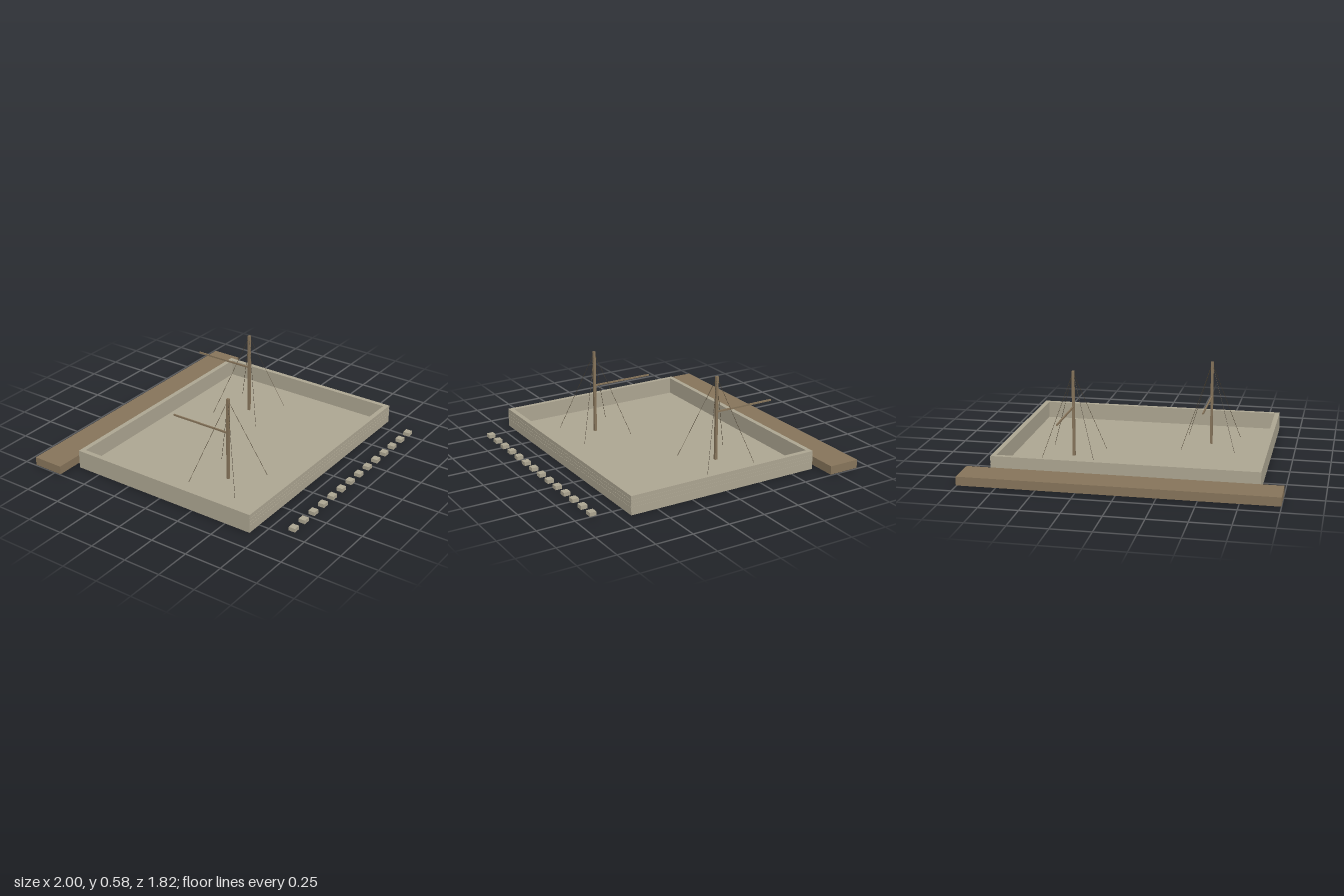
import * as THREE from 'three';

const stone = new THREE.MeshStandardMaterial({ color: 0xaca591 });
stone.name = 'stone';
stone.side = THREE.DoubleSide;
const timber = new THREE.MeshStandardMaterial({ color: 0x86745a });
timber.name = 'timber';
timber.side = THREE.DoubleSide;
const rope = new THREE.MeshStandardMaterial({ color: 0x4a3f2e });
rope.name = 'rope';

// Box given by its minimum and maximum corners; optionally open underneath
function box(name, material, min, max, openBottom = false) {
  const size = max.map((v, i) => v - min[i]);
  const geometry = new THREE.BoxGeometry(...size);
  if (openBottom) {
    const index = Array.from(geometry.index.array);
    index.splice(18, 6);
    geometry.setIndex(index);
    geometry.clearGroups();
  }
  const mesh = new THREE.Mesh(geometry, material);
  mesh.name = name;
  mesh.position.set(...max.map((v, i) => (v + min[i]) / 2));
  return mesh;
}

// Thin rope between two points
function stay(from, to) {
  const dir = to.clone().sub(from);
  const mesh = new THREE.Mesh(new THREE.CylinderGeometry(0.0012, 0.0012, dir.length(), 5), rope);
  mesh.name = 'stay';
  mesh.position.copy(from).add(to).multiplyScalar(0.5);
  mesh.quaternion.setFromUnitVectors(new THREE.Vector3(0, 1, 0), dir.normalize());
  return mesh;
}

// Mast with a rearward boom and four diagonal stays
function mast(x, z) {
  const group = new THREE.Group();
  group.name = 'mast';
  group.position.set(x, 0, z);
  const r = 0.0085;
  group.add(box('mastPost', timber, [-r, 0, -r], [r, 0.585, r]));
  group.add(box('boom', timber, [-0.0045, 0.338, -0.43], [0.0045, 0.349, 0]));
  for (const sx of [-1, 1]) {
    for (const sz of [-1, 1]) {
      group.add(stay(new THREE.Vector3(0, 0.575, 0), new THREE.Vector3(sx * 0.18, 0.012, sz * 0.18)));
    }
  }
  return group;
}

export function createModel() {
  const model = new THREE.Group();
  model.name = 'walledYard';
  const X = 0.855, BACK = -0.663, FRONT = 0.68, TOP = 0.125, T = 0.032;

  // Parapet walls around a sunken floor
  model.add(box('frontWall', stone, [-X, 0, FRONT - T], [X, TOP, FRONT]));
  model.add(box('backWall', stone, [-X, 0, BACK], [X, TOP, BACK + T]));
  for (const s of [-1, 1]) {
    const edges = [s * X, s * (X - T)].sort((a, b) => a - b);
    model.add(box('sideWall', stone, [edges[0], 0, BACK + T], [edges[1], TOP, FRONT - T]));
  }
  model.add(box('floor', stone, [-X + T, 0.004, BACK + T], [X - T, 0.012, FRONT - T]));

  // Fine horizontal courses on the front and one side
  for (const y of [0.051, 0.075, 0.098]) {
    model.add(box('frontCourse', stone, [-X, y - 0.0015, FRONT], [X, y + 0.0015, FRONT + 0.0015]));
    model.add(box('sideCourse', stone, [X, y - 0.0015, BACK], [X + 0.0015, y + 0.0015, FRONT]));
  }

  // Masts
  model.add(mast(-0.43, 0.222), mast(0.425, -0.205));

  // Long hollow platform behind the yard
  model.add(box('rearPlatform', timber, [-1, 0.005, -0.912], [1, 0.062, -0.7], true));

  // Row of small hollow blocks in front
  for (let i = 0; i < 14; i++) {
    const x = -0.69 + i * 0.1104;
    model.add(box('frontBlock', stone, [x - 0.0225, 0.012, 0.866], [x + 0.0225, 0.037, 0.91], true));
  }
  return model;
}
